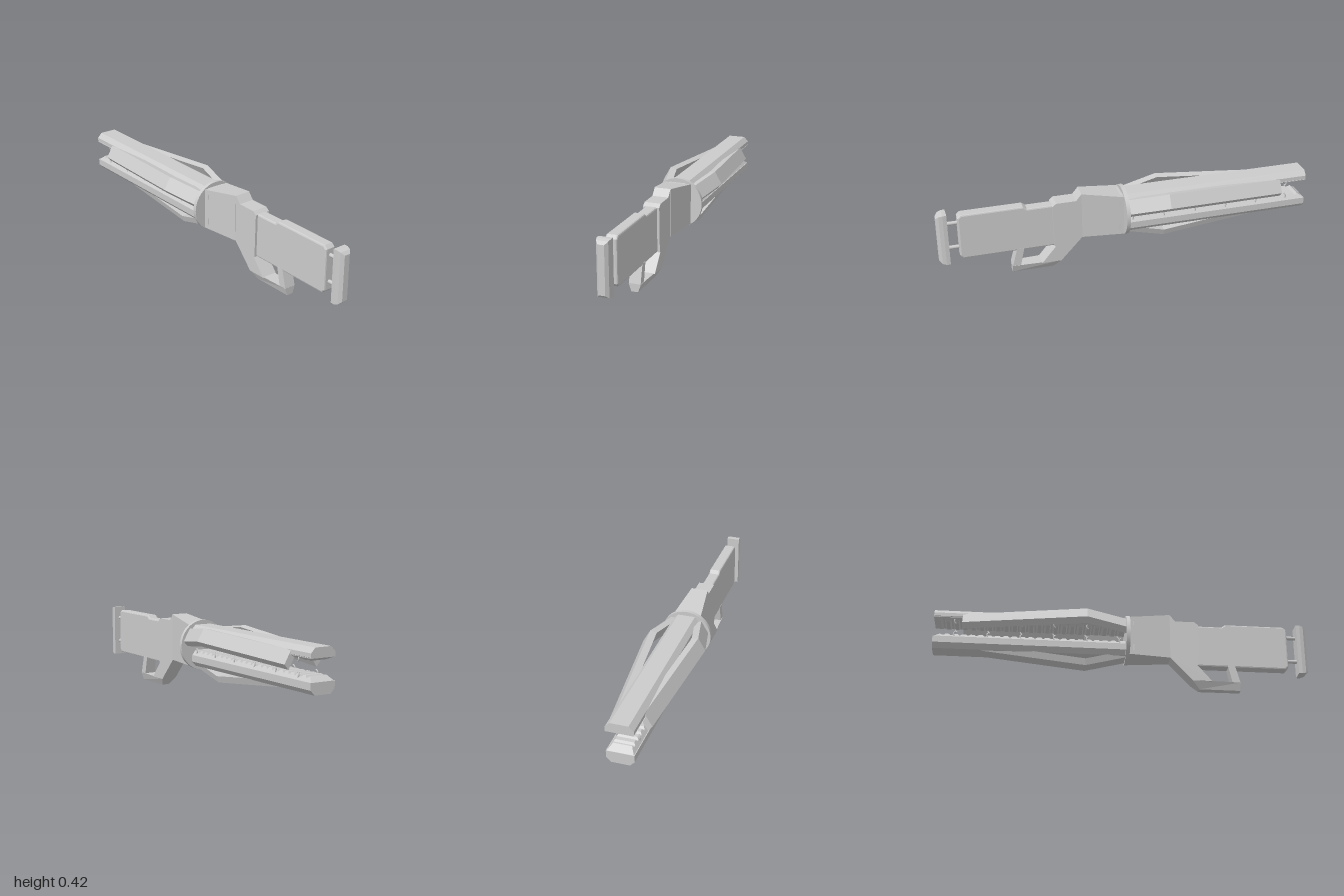
import * as THREE from 'three';

const material = new THREE.MeshStandardMaterial({ color: 0xcccccc, flatShading: true });
const smooth = new THREE.MeshStandardMaterial({ color: 0xcccccc });
const MID = 0.275; // height of the barrel axis

// Skin convex rings of [x, y, z] points, close both ends, and turn the faces outward
function loft(rings) {
  const tris = [];
  const n = rings[0].length;
  for (let i = 0; i < rings.length - 1; i++) {
    for (let j = 0; j < n; j++) {
      const k = (j + 1) % n;
      const [a, b, c, d] = [rings[i][j], rings[i][k], rings[i + 1][k], rings[i + 1][j]];
      tris.push([a, b, c], [a, c, d]);
    }
  }
  const last = rings[rings.length - 1];
  for (let j = 1; j < n - 1; j++) {
    tris.push([rings[0][0], rings[0][j + 1], rings[0][j]], [last[0], last[j], last[j + 1]]);
  }
  let volume = 0;
  const v = (p) => new THREE.Vector3(...p);
  for (const [a, b, c] of tris) volume += v(a).dot(v(b).cross(v(c)));
  if (volume < 0) tris.forEach((t) => t.reverse());
  const geometry = new THREE.BufferGeometry();
  geometry.setAttribute('position', new THREE.Float32BufferAttribute(tris.flat(2), 3));
  geometry.computeVertexNormals();
  return geometry;
}

const rect = (w, y0, y1, z) => [[-w, y0, z], [w, y0, z], [w, y1, z], [-w, y1, z]];

// Extrude a side profile of [z, y] points to half width w, with an optional edge bevel
function sideExtrude(points, w, bevel = 0) {
  const shape = new THREE.Shape(points.map(([z, y]) => new THREE.Vector2(z, y)));
  const depth = 2 * (w - bevel);
  return new THREE.ExtrudeGeometry(shape, {
    depth, bevelEnabled: bevel > 0, bevelSize: bevel, bevelOffset: -bevel,
    bevelThickness: bevel, bevelSegments: 2,
  }).translate(0, 0, -depth / 2).rotateY(-Math.PI / 2);
}

export function createModel() {
  const root = new THREE.Group();
  const add = (name, geometry, mat = material, parent = root) => {
    const mesh = new THREE.Mesh(geometry, mat);
    mesh.name = name;
    parent.add(mesh);
    return mesh;
  };

  // Butt plate, bevelled towards the rear, on two rods
  add('buttPlate', loft([
    rect(0.035, 0.11, 0.395, 0.945), rect(0.035, 0.11, 0.395, 0.965),
    rect(0.03, 0.116, 0.389, 0.985), rect(0.016, 0.13, 0.375, 1),
  ]));
  for (const y of [0.19, 0.33]) {
    const rod = new THREE.CylinderGeometry(0.01, 0.01, 0.1, 12).rotateX(Math.PI / 2);
    add('buttRod', rod.translate(0, y, 0.91), smooth);
  }

  // Stock with a shallow step in its top
  add('stock', sideExtrude([
    [0.37, 0.13], [0.875, 0.13], [0.892, 0.147], [0.892, 0.365], [0.875, 0.382],
    [0.555, 0.382], [0.535, 0.367], [0.37, 0.367],
  ], 0.03, 0.008));

  // Receiver: straight rear block and a front that widens to the collar
  add('receiverRear', sideExtrude([
    [0.25, 0.165], [0.285, 0.13], [0.4, 0.13], [0.405, 0.365], [0.385, 0.382],
    [0.28, 0.382], [0.25, 0.418],
  ], 0.043));
  add('receiverFront', loft([rect(0.045, 0.165, 0.418, 0.25), rect(0.073, 0.165, 0.382, 0.025)]));

  // Hand loop: front leg, rear leg and a tapered foot
  add('loopFrontLeg', sideExtrude([[0.25, 0.165], [0.367, 0.04], [0.47, 0.04], [0.385, 0.14]], 0.043));
  add('loopRearLeg', sideExtrude([[0.56, 0.14], [0.582, 0.04], [0.625, 0.04], [0.598, 0.14]], 0.031));
  add('loopFoot', loft([
    [[-0.043, 0.042, 0.365], [0.043, 0.042, 0.365], [0.032, 0.042, 0.625], [-0.032, 0.042, 0.625]],
    [[-0.02, 0, 0.405], [0.02, 0, 0.405], [0.018, 0, 0.625], [-0.018, 0, 0.625]],
  ]));

  // Round collar
  const collar = new THREE.CylinderGeometry(0.133, 0.133, 0.02, 48).rotateX(Math.PI / 2);
  add('collar', collar.translate(0, MID, 0.02), smooth);

  // Two jaws; each is a chamfered rail with a toothed strip and electrode hooks inside
  const jaws = [
    { name: 'lowerJaw', sign: -1, inner: 0.05, tooth: 0.025 },
    { name: 'upperJaw', sign: 1, inner: 0.06, tooth: 0.045 },
  ];
  for (const { name, sign, inner, tooth } of jaws) {
    const jaw = new THREE.Group();
    jaw.name = name;
    root.add(jaw);
    const y = (d) => MID + sign * d;
    const section = (z) => [
      [-0.07, y(inner), z], [0.07, y(inner), z], [0.07, y(0.085), z],
      [0.046, y(0.11), z], [-0.046, y(0.11), z], [-0.07, y(0.085), z],
    ];
    add(name + 'Rail', loft([section(0.055), section(-1)]), material, jaw);

    const points = [[0.01, y(inner + 0.005)], [0.01, y(tooth)]];
    const count = 22;
    const pitch = 0.96 / count;
    for (let i = 0; i < count; i++) {
      const z = -i * pitch;
      points.push([z, y(tooth)], [z - pitch * 0.45, y(tooth)],
        [z - pitch * 0.65, y(tooth + 0.01)], [z - pitch * 0.85, y(tooth + 0.01)]);
    }
    points.push([-0.965, y(tooth)], [-0.998, y(inner)], [-0.998, y(inner + 0.005)]);
    const teeth = sideExtrude(points, 1);
    // Narrow the strip towards the tooth tips
    const pos = teeth.attributes.position;
    for (let i = 0; i < pos.count; i++) {
      const d = sign * (pos.getY(i) - MID);
      const t = (inner - d) / (inner - tooth);
      pos.setX(i, pos.getX(i) * (0.066 - 0.02 * t));
    }
    teeth.computeVertexNormals();
    add(name + 'Teeth', teeth, material, jaw);

    for (let i = 0; i < 6; i++) {
      for (const side of [-1, 1]) {
        const z = -0.02 - i * 0.174;
        const curve = new THREE.CatmullRomCurve3([
          new THREE.Vector3(side * 0.056, y(inner + 0.005), z + 0.004),
          new THREE.Vector3(side * 0.056, y(tooth), z - 0.004),
          new THREE.Vector3(side * 0.052, y(tooth - 0.012), z + 0.006),
        ]);
        add('electrodeHook', new THREE.TubeGeometry(curve, 6, 0.004, 6), smooth, jaw);
      }
    }
  }

  // Three bowed struts spaced evenly around the barrel axis
  const strutSection = (z, r) => [
    [-0.038, -r, z], [0.038, -r, z], [0.049, -r + 0.034, z], [-0.049, -r + 0.034, z],
  ];
  for (let i = 0; i < 3; i++) {
    const geometry = loft([strutSection(0.015, 0.115), strutSection(-0.2, 0.17), strutSection(-0.85, 0.1)]);
    const strut = add('strut', geometry);
    strut.position.y = MID;
    strut.rotation.z = (i * 2 * Math.PI) / 3;
  }
  return root;
}
